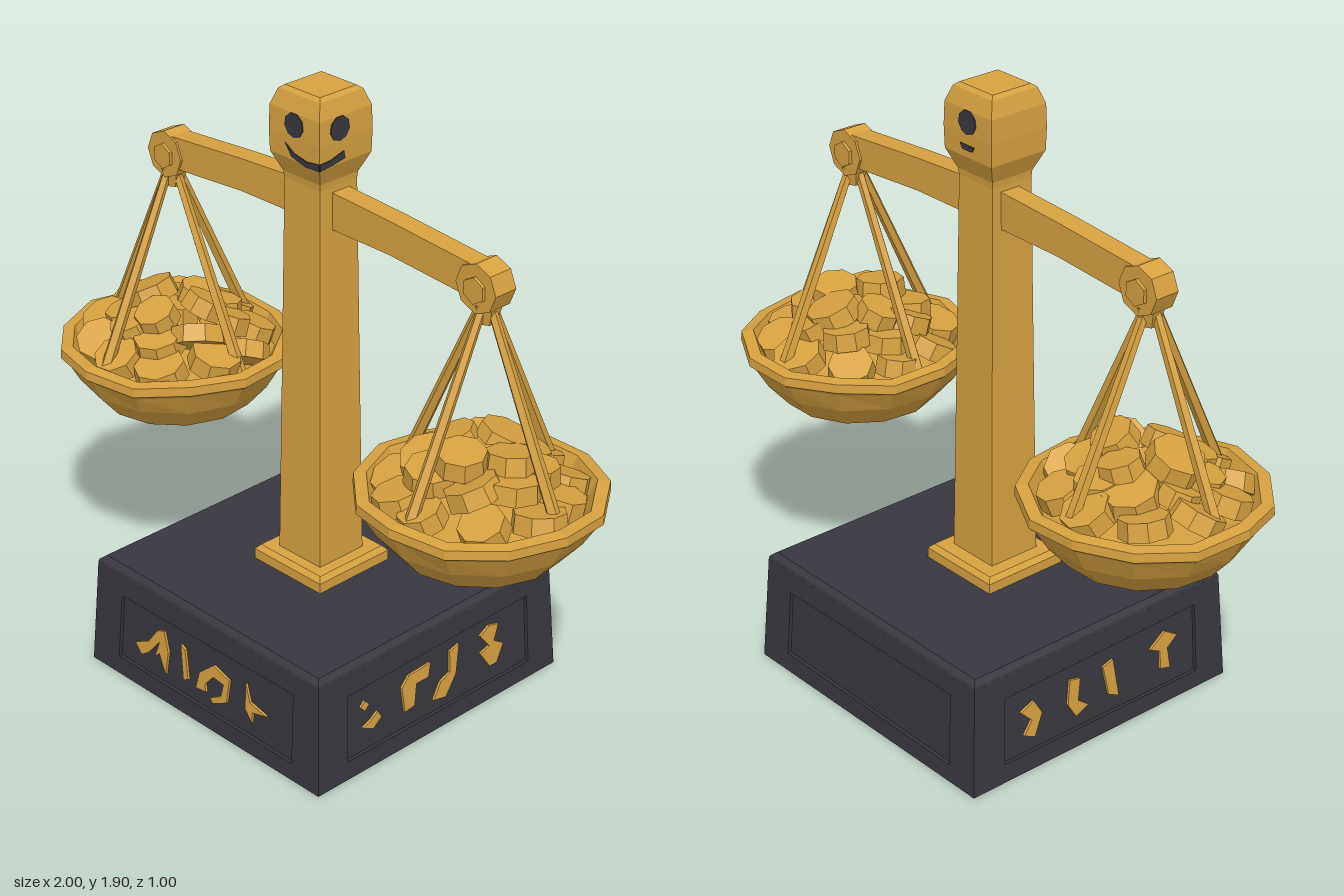
import * as THREE from 'three';

const gold = new THREE.MeshStandardMaterial({ color: 0xd6a140 });
const slate = new THREE.MeshStandardMaterial({ color: 0x38373f });
gold.name = 'gold';
slate.name = 'slate';

// Faceted normals for the low-poly look
function flat(geo) {
  const g = geo.index ? geo.toNonIndexed() : geo;
  g.computeVertexNormals();
  return g;
}

function add(parent, name, geo, mat, x = 0, y = 0, z = 0) {
  const mesh = new THREE.Mesh(flat(geo), mat);
  mesh.name = name;
  mesh.position.set(x, y, z);
  parent.add(mesh);
  return mesh;
}

// Square stack from [half width, height] pairs
function squareStack(points) {
  const p = points.map(([r, y]) => new THREE.Vector2(r * Math.SQRT2, y));
  return new THREE.LatheGeometry(p, 4, Math.PI / 4);
}

function plate(points, depth) {
  const shape = new THREE.Shape(points.map(([x, y]) => new THREE.Vector2(x, y)));
  return new THREE.ExtrudeGeometry(shape, { depth, bevelEnabled: false });
}

function strut(a, b, rTop, rBottom) {
  const dir = b.clone().sub(a);
  const geo = new THREE.CylinderGeometry(rTop, rBottom, dir.length(), 5);
  geo.applyQuaternion(new THREE.Quaternion().setFromUnitVectors(new THREE.Vector3(0, -1, 0), dir.normalize()));
  const mid = a.clone().add(b).multiplyScalar(0.5);
  return geo.translate(mid.x, mid.y, mid.z);
}

function seeded(seed) {
  return () => ((seed = (seed * 16807) % 2147483647) / 2147483647);
}

// Abstract inlay chips for the pedestal panels
const frontChips = [
  [[-0.31, 0.14], [-0.25, 0.17], [-0.21, 0.225], [-0.18, 0.235], [-0.16, 0.17], [-0.17, 0.09], [-0.2, 0.15], [-0.22, 0.13], [-0.2, 0.19], [-0.25, 0.13], [-0.28, 0.11]],
  [[-0.105, 0.225], [-0.085, 0.215], [-0.07, 0.12], [-0.09, 0.11]],
  [[-0.035, 0.11], [-0.02, 0.17], [0.04, 0.22], [0.11, 0.2], [0.1, 0.12], [0.04, 0.09], [0.03, 0.105], [0.075, 0.13], [0.085, 0.175], [0.04, 0.18], [0.005, 0.14], [0.01, 0.115]],
  [[0.18, 0.225], [0.2, 0.17], [0.27, 0.155], [0.21, 0.14], [0.21, 0.105], [0.18, 0.14]],
];
const rightChips = [
  [[-0.317, 0.21], [-0.3, 0.193], [-0.283, 0.21], [-0.3, 0.227]],
  [[-0.31, 0.14], [-0.27, 0.12], [-0.235, 0.145], [-0.25, 0.17], [-0.28, 0.15]],
  [[-0.14, 0.115], [-0.15, 0.2], [-0.12, 0.23], [-0.03, 0.235], [-0.04, 0.19], [-0.09, 0.19], [-0.1, 0.12]],
  [[-0.02, 0.1], [0.01, 0.15], [0.05, 0.165], [0.05, 0.235], [0.09, 0.245], [0.075, 0.15], [0.03, 0.09]],
  [[0.18, 0.23], [0.22, 0.25], [0.26, 0.24], [0.24, 0.19], [0.28, 0.165], [0.25, 0.11], [0.22, 0.11], [0.18, 0.17], [0.22, 0.18]],
];
const leftChips = [
  [[-0.31, 0.2], [-0.26, 0.22], [-0.23, 0.17], [-0.26, 0.1], [-0.3, 0.12], [-0.27, 0.16]],
  [[-0.12, 0.23], [-0.08, 0.22], [-0.09, 0.15], [-0.05, 0.12], [-0.1, 0.1], [-0.13, 0.15]],
  [[0.01, 0.22], [0.05, 0.23], [0.07, 0.1], [0.03, 0.12]],
  [[0.2, 0.2], [0.26, 0.24], [0.31, 0.21], [0.27, 0.18], [0.28, 0.11], [0.24, 0.12], [0.24, 0.18]],
];

function makePedestal() {
  const base = new THREE.Group();
  base.name = 'pedestal';
  add(base, 'pedestalCore', squareStack([[0, 0], [0.488, 0], [0.47, 0.35], [0, 0.35]]), slate);
  add(base, 'pedestalTop', squareStack([[0.481, 0.345], [0.478, 0.355], [0.462, 0.368], [0, 0.368]]), slate);
  // Tilted framed sides with a recessed panel
  [frontChips, rightChips, [], leftChips].forEach((chips, k) => {
    const turn = new THREE.Group();
    const side = new THREE.Group();
    turn.name = 'pedestalSide';
    turn.rotation.y = k * Math.PI / 2;
    side.position.z = 0.5;
    side.rotation.x = -Math.atan(0.019 / 0.345);
    const frame = new THREE.Shape([[-0.5, 0], [0.5, 0], [0.481, 0.346], [-0.481, 0.346]].map(p => new THREE.Vector2(...p)));
    frame.holes.push(new THREE.Path([[-0.38, 0.06], [-0.37, 0.275], [0.38, 0.285], [0.385, 0.055]].map(p => new THREE.Vector2(...p))));
    add(side, 'panelFrame', new THREE.ExtrudeGeometry(frame, { depth: 0.014, bevelEnabled: false }), slate, 0, 0, -0.014);
    chips.forEach(c => add(side, 'panelInlay', plate(c, 0.009), gold, 0, 0, -0.0125));
    turn.add(side);
    base.add(turn);
  });
  return base;
}

function makeHead() {
  const head = new THREE.Group();
  head.name = 'head';
  head.position.set(0.003, 0, 0.013);
  add(head, 'headBlock', squareStack([[0.07, 1.6], [0.074, 1.64], [0.1, 1.7], [0.102, 1.77], [0.1, 1.84], [0.083, 1.888], [0.07, 1.898], [0, 1.898]]), gold);
  // Eyes and mouths: front, right and back faces
  const mouths = [
    [[-0.035, 1.745], [0, 1.722], [0.05, 1.712], [0.1, 1.718], [0.1, 1.698], [0.05, 1.695], [-0.01, 1.71]],
    [[-0.101, 1.718], [-0.06, 1.72], [-0.01, 1.735], [-0.005, 1.712], [-0.05, 1.704], [-0.101, 1.698]],
    [[-0.03, 1.738], [0.03, 1.738], [0.02, 1.722], [-0.02, 1.722]],
  ];
  [0, -0.025, 0].forEach((u, k) => {
    const face = new THREE.Group();
    face.name = 'facePaint';
    face.rotation.y = k * Math.PI / 2;
    const eye = new THREE.CylinderGeometry(0.037, 0.037, 0.008, 9).rotateX(Math.PI / 2);
    add(face, 'eye', eye, slate, u, 1.805, 0.1);
    add(face, 'mouth', plate(mouths[k], 0.008), slate, 0, 0, 0.096);
    head.add(face);
  });
  return head;
}

function makePan(seed) {
  const pan = new THREE.Group();
  const rnd = seeded(seed);
  // Faceted bowl with a slightly uneven rim
  const profile = [[0, 0.7], [0.24, 0.7], [0.305, 0.775], [0.345, 0.845], [0.364, 0.86], [0.362, 0.888], [0.325, 0.893], [0.3, 0.84], [0.22, 0.8], [0, 0.8]];
  const bowl = new THREE.LatheGeometry(profile.map(p => new THREE.Vector2(...p)), 13);
  const pos = bowl.attributes.position;
  for (let i = 0; i < pos.count; i++) {
    const y = pos.getY(i), a = Math.atan2(pos.getX(i), pos.getZ(i) + 1e-5);
    if (y > 0.83) pos.setY(i, y + 0.007 * Math.sin(5 * a + seed));
  }
  add(pan, 'panBowl', bowl, gold);
  // Four hangers from the arm end to the rim
  for (let k = 0; k < 4; k++) {
    const a = k * Math.PI / 2, dx = Math.sin(a), dz = Math.cos(a);
    const top = new THREE.Vector3(0.015 * dx, 1.45, 0.015 * dz);
    const end = new THREE.Vector3(0.29 * dx, 0.86, 0.29 * dz);
    add(pan, 'hanger', strut(top, end, 0.014, 0.02), gold);
  }
  // Heap of coins: rings of tilted discs
  [[10, 0.235, 0.89, 0.4], [8, 0.15, 0.945, 0.3], [4, 0.1, 1.0, 0.25], [1, 0.03, 0.97, 0.15]].forEach(([n, r, y, tilt], ring) => {
    for (let i = 0; i < n; i++) {
      const a = (i + 0.5 * ring + 0.4 * rnd()) / n * Math.PI * 2;
      const size = 0.068 + 0.022 * rnd();
      const coin = new THREE.CylinderGeometry(size * 0.93, size, 0.055, 8);
      const m = add(pan, 'coin', coin, gold, r * Math.sin(a), y + 0.03 * (rnd() - 0.4), r * Math.cos(a));
      m.rotation.set(tilt * Math.cos(a) + 0.5 * (rnd() - 0.5), rnd() * 3, -tilt * Math.sin(a) + 0.5 * (rnd() - 0.5));
    }
  });
  return pan;
}

export function createModel() {
  const model = new THREE.Group();
  model.name = 'balanceScale';
  model.add(makePedestal(), makeHead());
  add(model, 'columnFoot', squareStack([[0.142, 0.365], [0.142, 0.4], [0.128, 0.415], [0, 0.415]]), gold, 0, 0, 0.008);
  add(model, 'column', squareStack([[0.088, 0.41], [0.08, 1.0], [0.072, 1.62]]), gold, 0.003, 0, 0.013);

  for (const s of [1, -1]) {
    // Tapered arm with a round end and boss
    const arm = new THREE.Group();
    arm.name = s > 0 ? 'leftArm' : 'rightArm';
    arm.rotation.y = s > 0 ? 0 : Math.PI;
    arm.position.z = 0.005;
    add(arm, 'beam', plate([[0, 1.49], [0.3, 1.488], [0.62, 1.465], [0.62, 1.565], [0.3, 1.59], [0, 1.607]], 0.066), gold, 0, 0, -0.033);
    const hub = new THREE.CylinderGeometry(0.074, 0.074, 0.08, 8).rotateX(Math.PI / 2);
    add(arm, 'armEnd', hub, gold, 0.633, 1.503);
    const boss = new THREE.CylinderGeometry(0.04, 0.04, 0.1, 6).rotateX(Math.PI / 2);
    add(arm, 'armBoss', boss, gold, 0.633, 1.5);
    add(arm, 'hangerKnot', new THREE.CylinderGeometry(0.045, 0.028, 0.06, 6), gold, 0.64, 1.425);
    model.add(arm);

    const pan = makePan(s > 0 ? 77 : 1234);
    pan.name = s > 0 ? 'leftPan' : 'rightPan';
    pan.position.set(0.641 * s, 0, 0.008);
    model.add(pan);
  }
  return model;
}
